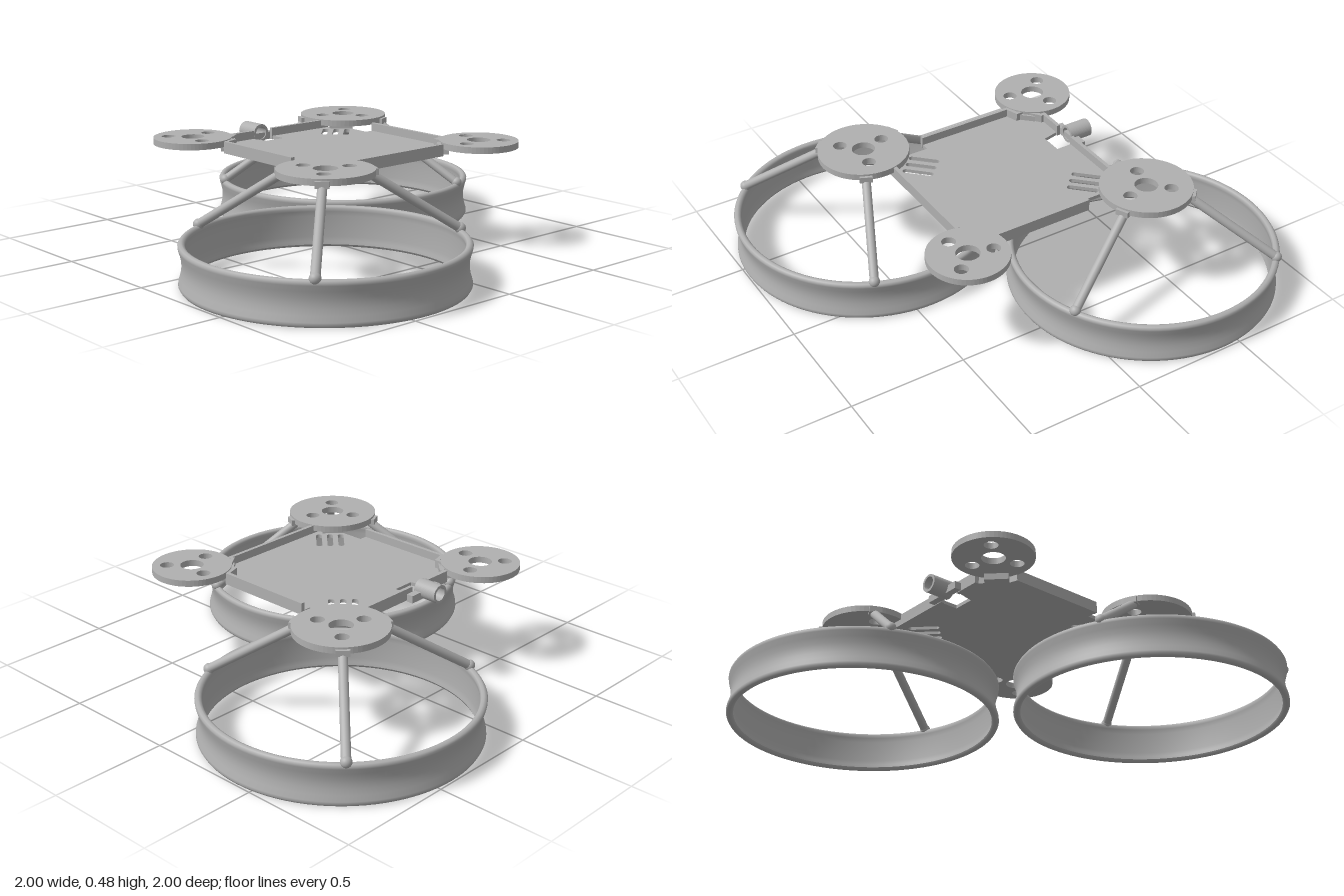
import * as THREE from 'three';

const HUB = 0.427; // hub offset from the centre on both axes
const Y = new THREE.Vector3(0, 1, 0);

export function createModel() {
  const model = new THREE.Group();
  const grey = new THREE.MeshStandardMaterial({ color: 0xb0b0b0 });
  grey.name = 'grey plastic';

  const add = (name, geometry, parent = model) => {
    const mesh = new THREE.Mesh(geometry, grey);
    mesh.name = name;
    parent.add(mesh);
    return mesh;
  };

  // Flat plate from an outline in (x, -z), between two heights
  const plate = (shape, y0, y1) =>
    new THREE.ExtrudeGeometry(shape, { depth: y1 - y0, bevelEnabled: false, curveSegments: 32 })
      .rotateX(-Math.PI / 2).translate(0, y0, 0);

  const circleHole = (x, y, r) => new THREE.Path().absarc(x, y, r, 0, Math.PI * 2, true);

  // Round bar between two points
  const bar = (name, a, b, r, parent) => {
    const dir = b.clone().sub(a);
    const mesh = add(name, new THREE.CylinderGeometry(r, r, dir.length(), 20), parent);
    mesh.position.copy(a).add(b).multiplyScalar(0.5);
    mesh.quaternion.setFromUnitVectors(Y, dir.normalize());
  };

  // Tray floor with stepped corners, camera notch and vent slots
  const half = [[0.385, 0.17], [0.335, 0.17], [0.335, 0.335], [0.285, 0.385]];
  const corner = [[-0.26, 0.385], [-0.26, 0.37], [-0.33, 0.32], [-0.33, 0.285], [-0.385, 0.267]];
  const notch = [[-0.035, 0.385], [-0.035, 0.3], [-0.13, 0.3], [-0.15, 0.385]];
  const turn = (pts) => pts.map(([x, y]) => [-x, -y]);
  const outline = [...half, ...notch, ...corner, ...turn(half), ...turn(corner)];
  const floor = new THREE.Shape(outline.map(([x, y]) => new THREE.Vector2(x, y)));
  for (const s of [1, -1]) {
    for (const k of [-1, 0, 1]) {
      const cx = s * (0.233 + k * 0.034), cy = s * (0.258 - k * 0.034);
      const d = 0.038, r = 0.013, q = Math.PI / 4;
      const slot = new THREE.Path();
      slot.absarc(cx + d, cy + d, r, -q, 3 * q, false);
      slot.absarc(cx - d, cy - d, r, 3 * q, 7 * q, false);
      slot.closePath();
      floor.holes.push(slot);
    }
  }
  add('trayFloor', plate(floor, 0.405, 0.42));

  // Thin upright walls around the tray
  const walls = new THREE.Group();
  walls.name = 'trayWalls';
  model.add(walls);
  const wallRun = (pts) => {
    for (let i = 0; i + 1 < pts.length; i++) {
      const [ax, ay] = pts[i], [bx, by] = pts[i + 1];
      const length = Math.hypot(bx - ax, by - ay);
      const wall = add('trayWall', new THREE.BoxGeometry(length + 0.012, 0.05, 0.016), walls);
      wall.position.set((ax + bx) / 2, 0.43, -(ay + by) / 2);
      wall.rotation.y = Math.atan2(by - ay, bx - ax);
    }
  };
  const inset = (pts) => pts.map(([x, y]) => [x * 0.98, y * 0.98]);
  wallRun(inset([[0.285, 0.385], [-0.035, 0.385]]));
  wallRun(inset([[-0.15, 0.385], ...corner, [-0.385, -0.17]]));
  wallRun(inset([[-0.285, -0.385], ...turn(corner), [0.385, 0.17]]));

  // Camera holder: bracket and hollow barrel behind the tray
  const bracket = add('cameraBracket', new THREE.BoxGeometry(0.175, 0.032, 0.03));
  bracket.position.set(-0.088, 0.42, -0.405);
  const barrel = new THREE.Shape().absarc(0, 0, 0.039, 0, Math.PI * 2, false);
  barrel.holes.push(circleHole(0, 0, 0.028));
  const barrelMesh = add('cameraBarrel',
    new THREE.ExtrudeGeometry(barrel, { depth: 0.105, bevelEnabled: false, curveSegments: 24 }));
  barrelMesh.position.set(-0.09, 0.437, -0.49);

  // Motor mounts: discs with a shaft hole and three screw holes
  for (const [sx, sy] of [[1, 1], [-1, 1], [-1, -1], [1, -1]]) {
    const ringed = sx === sy;
    const out = Math.atan2(sy, sx);
    const disc = new THREE.Shape().absarc(0, 0, ringed ? 0.194 : 0.167, 0, Math.PI * 2, false);
    disc.holes.push(circleHole(0, 0, 0.049));
    for (let k = 0; k < 3; k++) {
      const a = out + k * Math.PI * 2 / 3;
      disc.holes.push(circleHole(0.104 * Math.cos(a), 0.104 * Math.sin(a), 0.029));
    }
    const unit = new THREE.Group();
    unit.name = ringed ? 'ductUnit' : 'motorMount';
    unit.position.set(sx * HUB, 0, -sy * HUB);
    model.add(unit);
    add('motorDisc', plate(disc, 0.432, 0.459), unit);

    // Block joining the disc to the tray floor
    const block = add('mountBlock', new THREE.BoxGeometry(0.05, 0.04, 0.1), unit);
    block.position.set(-Math.cos(out) * 0.15, 0.425, Math.sin(out) * 0.15);
    block.rotation.y = out;
    if (!ringed) continue;

    // Duct ring with a pinched wall and rounded rims
    const profile = [
      [0.542, 0.012], [0.547, 0.003], [0.557, 0], [0.567, 0.003], [0.572, 0.012], [0.571, 0.022],
      [0.564, 0.045], [0.559, 0.07], [0.558, 0.09], [0.559, 0.11], [0.564, 0.135],
      [0.571, 0.158], [0.572, 0.168], [0.567, 0.176], [0.557, 0.18], [0.547, 0.176],
      [0.542, 0.168], [0.544, 0.155], [0.548, 0.135], [0.547, 0.09], [0.548, 0.045],
      [0.544, 0.025], [0.542, 0.012],
    ].map(([r, y]) => new THREE.Vector2(r, y));
    add('ductRing', new THREE.LatheGeometry(profile, 96), unit);

    // Three sloping struts from disc to ring
    for (const turnBy of [0, 110, -110]) {
      const a = out + THREE.MathUtils.degToRad(turnBy);
      const at = (r, y) => new THREE.Vector3(r * Math.cos(a), y, -r * Math.sin(a));
      bar('strut', at(0.17, 0.432), at(0.557, 0.182), 0.019, unit);
      add('strutFoot', new THREE.SphereGeometry(0.023, 20, 14), unit).position.copy(at(0.557, 0.182));
      const socket = add('strutSocket', new THREE.BoxGeometry(0.04, 0.026, 0.055), unit);
      socket.position.copy(at(0.186, 0.438));
      socket.rotation.y = a;
    }
  }
  return model;
}
